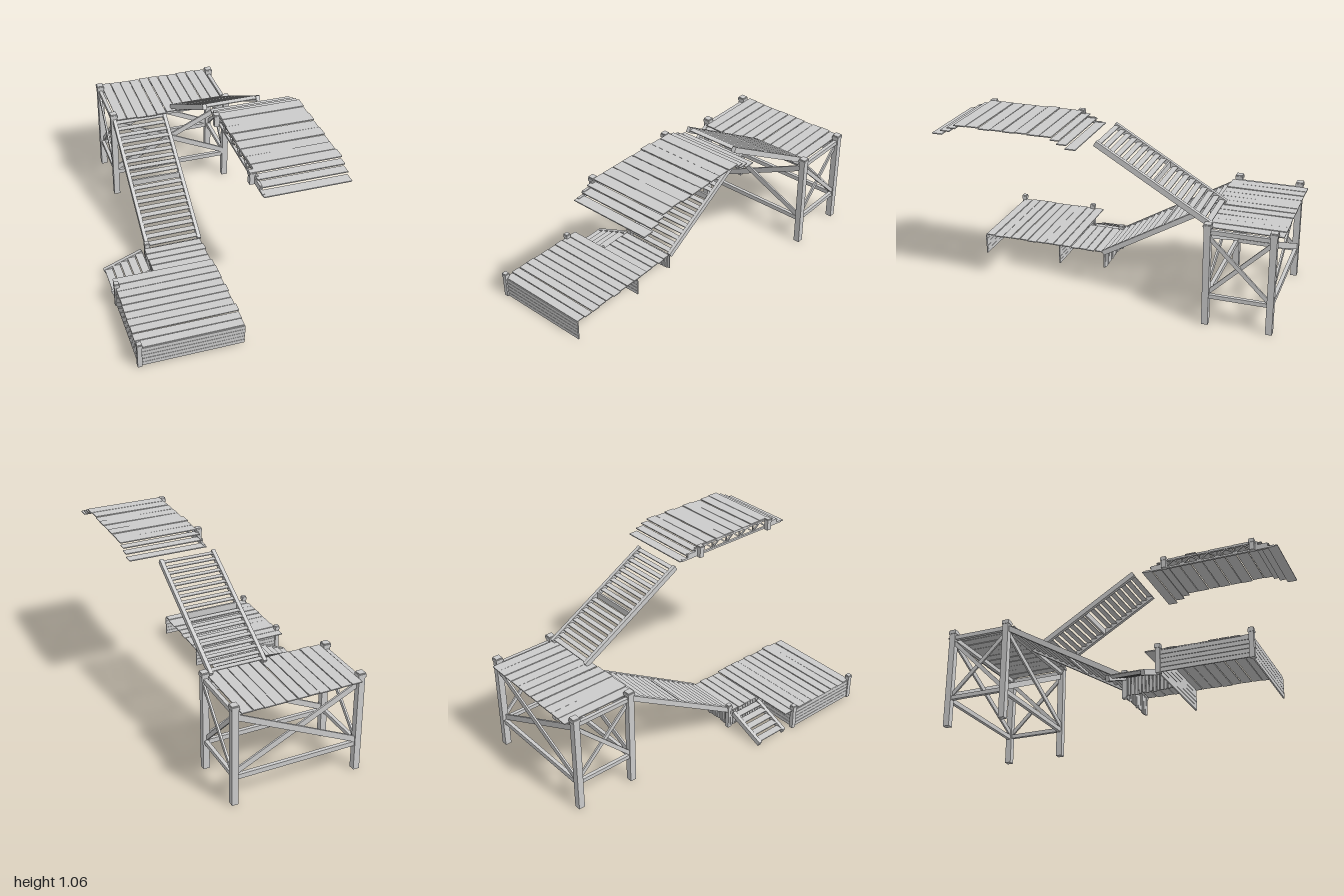
import * as THREE from 'three';

const wood = new THREE.MeshStandardMaterial({ color: 0xcccccc, flatShading: true, side: THREE.DoubleSide });

let seed = 7;
function rnd(r) { // small repeatable jitter in -r..r
  seed = (seed * 16807) % 2147483647;
  return (seed / 2147483647 * 2 - 1) * r;
}

function box(parent, name, w, h, d, x, y, z) {
  const m = new THREE.Mesh(new THREE.BoxGeometry(w, h, d), wood);
  m.name = name;
  m.position.set(x, y, z);
  parent.add(m);
  return m;
}

// Timber running from a to b; w is the horizontal width, h the height of its section
function beam(parent, name, a, b, w, h) {
  const A = new THREE.Vector3(...a), B = new THREE.Vector3(...b);
  const m = box(parent, name, w, h, A.distanceTo(B), 0, 0, 0);
  m.position.copy(A).add(B).multiplyScalar(0.5);
  m.lookAt(B);
  return m;
}

function group(parent, name) {
  const g = new THREE.Group();
  g.name = name;
  parent.add(g);
  return g;
}

// Square post with a wider two-part cap
function post(parent, x, z, y0, y1, s) {
  box(parent, 'post', s, y1 - y0, s, x, (y0 + y1) / 2, z).rotation.y = rnd(0.02);
  box(parent, 'postCap', s * 1.2, 0.018, s * 1.2, x, y1 - 0.013, z);
  box(parent, 'postCapTop', s * 1.05, 0.006, s * 1.05, x, y1, z);
}

// Row of uneven boards laid side by side; alongX sets the direction of the boards
function deck(parent, x0, x1, z0, z1, y, n, alongX, t = 0.006) {
  const [s0, s1] = alongX ? [z0, z1] : [x0, x1];
  const step = (s1 - s0) / n;
  for (let i = 0; i < n; i++) {
    const c = s0 + step * (i + 0.5), w = step - 0.003 - Math.abs(rnd(0.003));
    const len = (alongX ? x1 - x0 : z1 - z0) + rnd(0.008);
    const cx = alongX ? (x0 + x1) / 2 + rnd(0.003) : c;
    const cz = alongX ? c : (z0 + z1) / 2 + rnd(0.006);
    const m = box(parent, 'deckBoard', alongX ? len : w, t, alongX ? w : len, cx, y + rnd(0.002), cz);
    if (alongX) m.rotation.z = rnd(0.004); else m.rotation.x = rnd(0.006);
  }
}

// Wall of boards from a to b (x,z); vertical boards have gaps and uneven feet
function skirt(parent, a, b, y0, y1, n, vertical) {
  const g = group(parent, 'skirt');
  const len = Math.hypot(b[0] - a[0], b[1] - a[1]);
  g.position.set((a[0] + b[0]) / 2, 0, (a[1] + b[1]) / 2);
  g.rotation.y = -Math.atan2(b[1] - a[1], b[0] - a[0]);
  for (let i = 0; i < n; i++) {
    if (vertical) {
      const w = len / n, lo = y0 + Math.abs(rnd(0.01));
      box(g, 'skirtBoard', w * 0.78, y1 - lo, 0.008, -len / 2 + w * (i + 0.5), (lo + y1) / 2, 0).rotation.z = rnd(0.02);
    } else {
      const h = (y1 - y0) / n;
      box(g, 'skirtBoard', len + rnd(0.004), h - 0.002, 0.008, 0, y0 + h * (i + 0.5), 0).rotation.z = rnd(0.002);
    }
  }
}

// Open stair climbing from its origin towards local -z
function stair(parent, name, width, rise, run, n, middleBoard) {
  const g = group(parent, name);
  for (const s of [-1, 1])
    beam(g, 'stringer', [s * (width / 2 - 0.011), 0, 0], [s * (width / 2 - 0.011), rise, -run], 0.022, 0.032);
  const inner = width - 0.04;
  for (let i = 0; i < n; i++) {
    const t = (i + 0.5) / n;
    if (middleBoard && i === (n - 1) / 2)
      box(g, 'middleBoard', inner, 0.038, 0.012, 0, rise * t, -run * t);
    else
      box(g, 'tread', inner, 0.005, run / n * 0.97, 0, rise * t + 0.007, -run * t).rotation.z = rnd(0.006);
  }
  return g;
}

function buildTower(root) {
  const g = group(root, 'tower');
  const xs = [-0.303, 0.445], zs = [-0.58, -0.945];
  for (const x of xs) for (const z of zs) post(g, x, z, 0.004, 0.617, 0.038);
  // Front and back frames
  for (const z of zs) {
    beam(g, 'topBeam', [xs[0], 0.57, z], [xs[1], 0.57, z], 0.022, 0.026);
    beam(g, 'lowerBeam', [xs[0], 0.174, z], [xs[1], 0.174, z], 0.022, 0.028);
    beam(g, 'crossBrace', [xs[0], 0.55, z + 0.006], [xs[1], 0.195, z + 0.006], 0.011, 0.034);
    beam(g, 'crossBrace', [xs[0], 0.195, z - 0.006], [xs[1], 0.55, z - 0.006], 0.011, 0.034);
  }
  // Side frames
  for (const x of xs) {
    beam(g, 'sideTopBeam', [x, 0.571, zs[0]], [x, 0.571, zs[1]], 0.022, 0.026);
    beam(g, 'sideLowerBeam', [x, 0.18, zs[0]], [x, 0.18, zs[1]], 0.022, 0.024);
    beam(g, 'sideBrace', [x + 0.006, 0.55, zs[0]], [x + 0.006, 0.19, zs[1]], 0.011, 0.024);
    beam(g, 'sideBrace', [x - 0.006, 0.19, zs[0]], [x - 0.006, 0.55, zs[1]], 0.011, 0.024);
  }
  deck(g, -0.287, 0.425, -0.995, -0.54, 0.587, 11, false);
}

function buildDock(root) {
  const g = group(root, 'lowerDock');
  deck(g, -0.57, 0.037, 0.40, 0.978, 0.134, 10, true);
  skirt(g, [-0.57, 0.975], [0.037, 0.975], 0.004, 0.13, 5, false);
  skirt(g, [-0.565, 0.475], [-0.565, 0.975], 0.008, 0.13, 5, false);
  skirt(g, [-0.565, 0.475], [0.03, 0.475], 0.006, 0.13, 5, false);
  // Lower landing at the foot of the stair
  deck(g, -0.325, 0.028, 0.19, 0.40, 0.127, 4, true);
  skirt(g, [-0.315, 0.18], [0.025, 0.18], 0.01, 0.122, 16, true);
  skirt(g, [-0.315, 0.18], [-0.315, 0.475], 0.01, 0.122, 14, true);
  post(g, -0.563, 0.475, 0.004, 0.165, 0.026);
  post(g, -0.563, 0.975, 0.004, 0.165, 0.026);
  post(g, -0.303, 0.18, 0.004, 0.165, 0.026);
}

function buildUpperPlatform(root) {
  const g = group(root, 'upperPlatform');
  const mid = 0.56;
  deck(g, 0.10, 0.577, 0.265, 0.855, 1.058, 8, true);
  // Three steps down at each end
  for (const s of [-1, 1])
    [[0.40, 0.06, 1.0], [0.35, 0.056, 1.022], [0.31, 0.05, 1.042]].forEach(([dz, w, y]) =>
      box(g, 'stepBoard', 0.478, 0.006, w, 0.339, y, mid + s * dz).rotation.z = rnd(0.003));
  // Trussed side
  const x = 0.106;
  beam(g, 'trussBottom', [x, 1.0, 0.15], [x, 1.0, 0.97], 0.014, 0.012);
  beam(g, 'trussTop', [x, 1.05, 0.27], [x, 1.05, 0.85], 0.014, 0.01);
  for (const s of [-1, 1]) {
    box(g, 'stepBlock', 0.014, 0.03, 0.06, x, 1.014, mid + s * 0.34);
    box(g, 'trussEnd', 0.014, 0.05, 0.03, x, 1.025, mid + s * 0.295);
    post(g, 0.088, mid + s * 0.28, 0.99, 1.062, 0.03);
  }
  const n = 10, w = 0.56 / n;
  for (let i = 0; i < n; i++) {
    const z = mid - 0.28 + w * i, up = i % 2;
    beam(g, 'trussDiagonal', [x, up ? 1.048 : 1.004, z], [x, up ? 1.004 : 1.048, z + w], 0.01, 0.008);
    if (up) box(g, 'trussUpright', 0.01, 0.046, 0.005, x, 1.026, z + w);
  }
}

export function createModel() {
  const root = new THREE.Group();
  root.name = 'woodenWalkway';
  buildTower(root);
  buildDock(root);
  buildUpperPlatform(root);

  const lower = stair(root, 'lowerStair', 0.345, 0.445, 0.755, 19, true);
  lower.position.set(-0.137, 0.125, 0.185);

  const upper = stair(root, 'upperStair', 0.345, 0.395, 0.67, 19, true);
  upper.position.set(0.247, 0.595, -0.59);
  upper.rotation.y = Math.PI;

  const side = stair(root, 'sideSteps', 0.22, 0.095, 0.235, 5, false);
  side.position.set(-0.57, 0.02, 0.29);
  side.rotation.y = -Math.PI / 2;
  return root;
}
